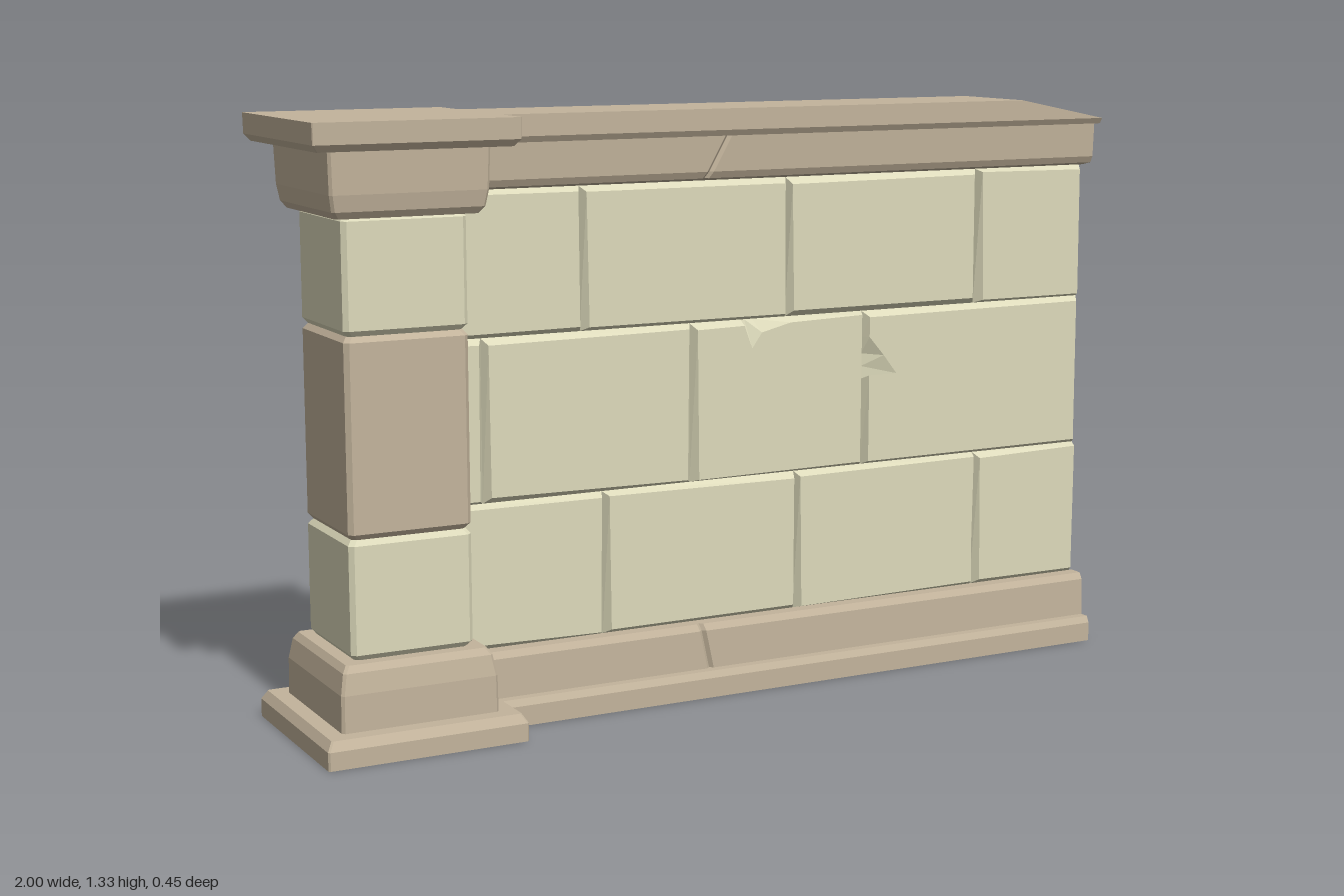
import * as THREE from 'three';

const stone = (color) => new THREE.MeshStandardMaterial({ color, flatShading: true, side: THREE.DoubleSide });
const cream = stone(0xdddabb);
const tan = stone(0xc3b49c);

let seed = 7;
const jitter = (a) => {
  seed = (seed * 16807) % 2147483647;
  return (seed / 2147483647 - 0.5) * 2 * a;
};

function mesh(name, positions, index, material) {
  let g = new THREE.BufferGeometry();
  g.setAttribute('position', new THREE.Float32BufferAttribute(positions, 3));
  g.setIndex(index);
  g = g.toNonIndexed();
  g.computeVertexNormals();
  const m = new THREE.Mesh(g, material);
  m.name = name;
  return m;
}

// Square pillar stone: rings of [half width, y] with trimmed corners, closed at both ends
function pillarStone(name, rings, cut, material) {
  const pos = [], idx = [], n = 8;
  rings.forEach(([h, y]) => {
    const k = h - cut;
    [[h, -k], [h, k], [k, h], [-k, h], [-h, k], [-h, -k], [-k, -h], [k, -h]]
      .forEach(([x, z]) => pos.push(x, y, z));
  });
  for (let r = 0; r < rings.length - 1; r++) {
    for (let i = 0; i < n; i++) {
      const a = r * n + i, b = r * n + (i + 1) % n;
      idx.push(a, a + n, b, b, a + n, b + n);
    }
  }
  const top = (rings.length - 1) * n;
  for (let i = 1; i < n - 1; i++) {
    idx.push(0, i, i + 1, top, top + i + 1, top + i);
  }
  return mesh(name, pos, idx, material);
}

// Wall brick: a flat face joined by sloping edges to the joint line behind it.
// A chip is [outer x, outer y, inner x, inner y] points added after the given corner.
const BACK = 0.045, FACE = 0.066;
function brick(name, x0, x1, y0, y1, chip) {
  const b = 0.011;
  const pts = [[x0, y0, b, b], [x1, y0, -b, b], [x1, y1, -b, -b], [x0, y1, b, -b]]
    .map(([x, y, dx, dy]) => [x, y, x + dx + jitter(0.004), y + dy + jitter(0.005)]);
  if (chip) pts.splice(chip.after + 1, 0, ...chip.points);
  const n = pts.length, pos = [], idx = [];
  pts.forEach((p) => pos.push(p[0], p[1], BACK));
  pts.forEach((p) => pos.push(p[2], p[3], FACE));
  for (let i = 0; i < n; i++) {
    const j = (i + 1) % n;
    idx.push(i, j, n + i, j, n + j, n + i);
  }
  const face = pts.map((p) => new THREE.Vector2(p[2], p[3]));
  THREE.ShapeUtils.triangulateShape(face, []).forEach((t) => idx.push(...t.map((i) => i + n)));
  return mesh(name, pos, idx, cream);
}

// Moulding swept along x from [z, y, end x] points, with one slanted hairline crack
function moulding(name, profile, crackX, slant) {
  const stations = [-0.65, crackX - 0.008, crackX, crackX + 0.008, 1];
  const pos = [], idx = [], n = profile.length;
  stations.forEach((s, k) => {
    profile.forEach(([z, y, end = 1]) => {
      const x = k === 0 ? s : k === 4 ? end : s + slant * (y - profile[0][1]);
      const dent = k === 2 && z > 0.07 && z < 0.1 ? 0.008 : 0;
      pos.push(x, y, z - dent);
    });
  });
  for (let k = 0; k < 4; k++) {
    for (let i = 0; i < n - 1; i++) {
      const a = k * n + i, c = a + n;
      idx.push(a, a + 1, c, c, a + 1, c + 1);
    }
  }
  return mesh(name, pos, idx, tan);
}

function createPillar() {
  const g = new THREE.Group();
  g.name = 'pillar';
  const shaft = (y0, y1) => [[0.128, y0], [0.1375, y0 + 0.012], [0.1375, y1 - 0.012], [0.128, y1]];
  g.add(
    pillarStone('plinth', [[0.225, 0], [0.225, 0.04], [0.213, 0.06]], 0.004, tan),
    pillarStone('base', [[0.177, 0.06], [0.176, 0.14], [0.168, 0.185], [0.158, 0.2]], 0.006, tan),
    pillarStone('lowerShaft', shaft(0.2, 0.458), 0.01, cream),
    pillarStone('middleShaft', shaft(0.458, 0.885), 0.01, tan),
    pillarStone('upperShaft', shaft(0.885, 1.135), 0.01, cream),
    pillarStone('capitalNeck', [[0.157, 1.13], [0.168, 1.145], [0.174, 1.18], [0.177, 1.27]], 0.006, tan),
    pillarStone('capitalSlab', [[0.213, 1.27], [0.225, 1.285], [0.226, 1.33]], 0.002, tan),
  );
  g.position.x = -0.775;
  return g;
}

function createWallSide(name) {
  const g = new THREE.Group();
  g.name = name;
  const rows = [
    { y: [0.163, 0.488], x: [-0.66, -0.29, 0.2, 0.695, 0.99] },
    { y: [0.488, 0.85], x: [-0.66, -0.575, -0.07, 0.38, 0.99] },
    { y: [0.85, 1.168], x: [-0.66, -0.34, 0.175, 0.69, 0.99] },
  ];
  // Broken edges, keyed by row and brick
  const chips = {
    '1-2': { after: 2, points: [[0.18, 0.85, 0.18, 0.838], [0.09, 0.85, 0.105, 0.82], [0.07, 0.85, 0.08, 0.785], [0.06, 0.85, 0.06, 0.838]] },
    '1-3': { after: 3, points: [[0.38, 0.79, 0.391, 0.79], [0.38, 0.75, 0.43, 0.745], [0.38, 0.72, 0.465, 0.7], [0.38, 0.69, 0.391, 0.7]] },
    '0-2': { after: 1, points: [[0.695, 0.24, 0.684, 0.25]] },
  };
  rows.forEach(({ y, x }, r) => {
    for (let i = 0; i < x.length - 1; i++) {
      g.add(brick(`brick${r + 1}_${i + 1}`, x[i], x[i + 1], y[0], y[1], chips[`${r}-${i}`]));
    }
  });
  g.add(
    moulding('topMoulding', [
      [0.12, 1.33, 0.77], [0.12, 1.283], [0.112, 1.27], [0.09, 1.27],
      [0.086, 1.19], [0.078, 1.175], [BACK, 1.168],
    ], 0.04, 0.55),
    moulding('skirting', [
      [BACK, 0.163], [0.078, 0.163], [0.087, 0.148], [0.09, 0.06],
      [0.112, 0.06], [0.12, 0.045], [0.12, 0],
    ], -0.06, -0.2),
  );
  return g;
}

export function createModel() {
  const model = new THREE.Group();
  model.name = 'stoneWall';
  model.add(createPillar());

  // Two thin skins with an open hollow between them
  const front = createWallSide('frontWall');
  const back = front.clone();
  back.name = 'backWall';
  back.scale.z = -1;
  model.add(front, back);

  // Flat coping that stops short of the broken end
  const coping = new THREE.Mesh(new THREE.PlaneGeometry(1.32, 0.24), tan);
  coping.name = 'coping';
  coping.rotation.x = -Math.PI / 2;
  coping.position.set(0.11, 1.33, 0);
  model.add(coping);
  return model;
}
